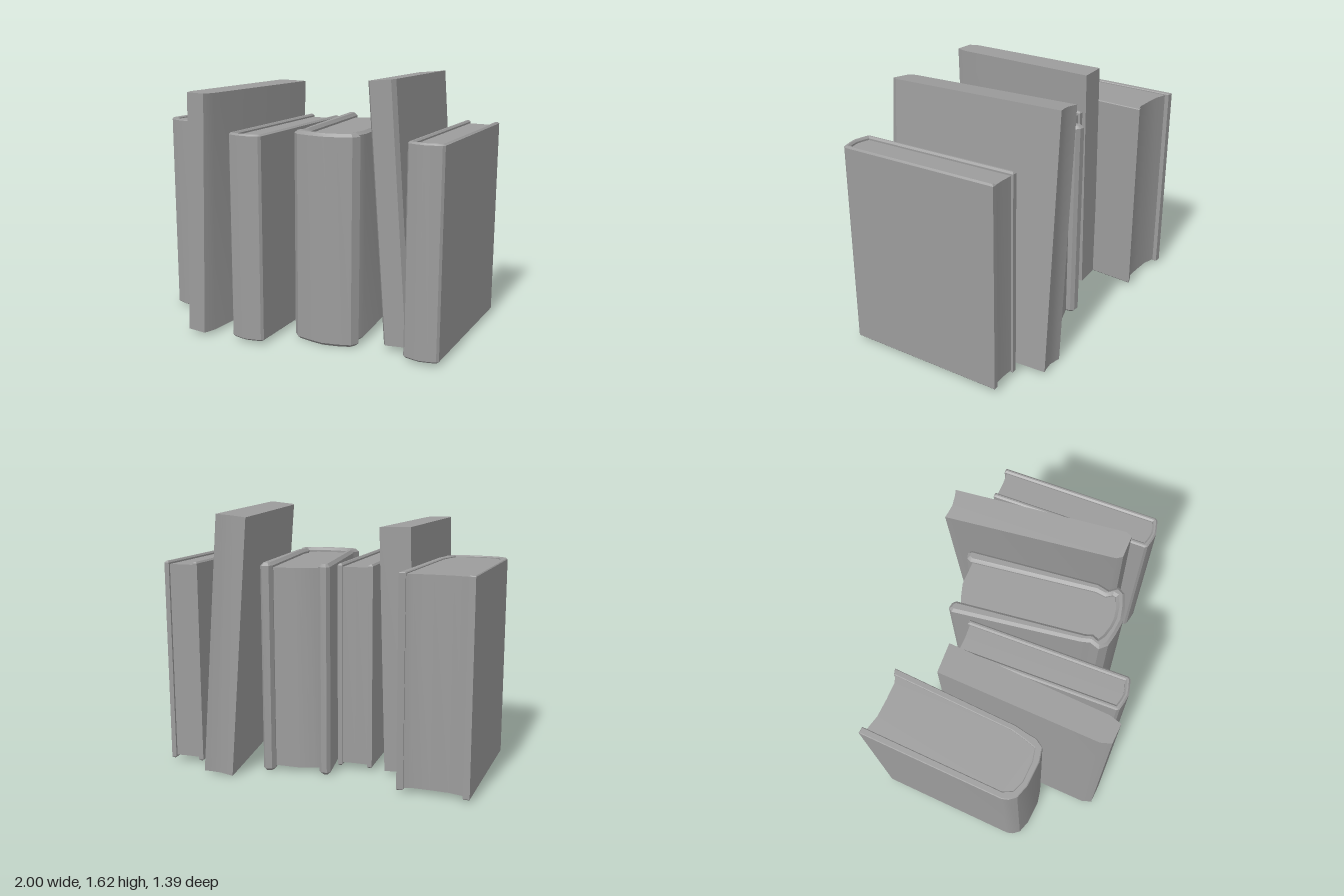
import * as THREE from 'three';
import { toCreasedNormals } from 'three/addons/utils/BufferGeometryUtils.js';

const material = new THREE.MeshStandardMaterial({ color: 0x9c9c9c });

// Upright prism from a plan outline of [x, z] points
function prism(name, outline, y0, y1, bevel = 0) {
  const shape = new THREE.Shape(outline.map(([x, z]) => new THREE.Vector2(x, -z)));
  const geo = new THREE.ExtrudeGeometry(shape, {
    depth: y1 - y0 - 2 * bevel,
    bevelEnabled: bevel > 0,
    bevelSize: bevel,
    bevelThickness: bevel,
    bevelOffset: -bevel,
    bevelSegments: 1,
  });
  geo.rotateX(-Math.PI / 2).translate(0, y0 + bevel, 0);
  const mesh = new THREE.Mesh(toCreasedNormals(geo, 0.5), material);
  mesh.name = name;
  return mesh;
}

// Hardback: U-shaped cover (outer and inner run from back left round the spine
// to back right) wrapped around a slightly shorter page block
function hardback(name, { outer, inner, foreEdge, y0, y1, bevel, recess }) {
  const book = new THREE.Group();
  book.name = name;
  book.add(prism('cover', [...outer, ...[...inner].reverse()], y0, y1, bevel));
  book.add(prism('pages', [...inner.slice(1, -1), ...foreEdge], y0 + recess, y1 - recess));
  return book;
}

// Thin hardback, centred on x
function thinBook(name, cx, back) {
  const place = (pts) => pts.map(([x, z]) => [cx + x, back + z]);
  return hardback(name, {
    outer: place([[-0.11, 0], [-0.11, 1.012], [-0.098, 1.028], [-0.05, 1.041], [0, 1.05],
      [0.05, 1.041], [0.098, 1.028], [0.11, 1.012], [0.11, 0]]),
    inner: place([[-0.08, 0], [-0.08, 1.0], [-0.04, 1.012], [0, 1.018],
      [0.04, 1.012], [0.08, 1.0], [0.08, 0]]),
    foreEdge: place([[0.08, 0.014], [0, 0.018], [-0.08, 0.014]]),
    y0: 0.02, y1: 1.29, bevel: 0.01, recess: 0.02,
  });
}

// Plain closed book that leans: shiftX moves x per unit height,
// tiltX and tiltZ raise its ends per unit x and z
function leaningBook(name, { outline, y0, y1, shiftX, tiltX, tiltZ, pivotX }) {
  const mesh = prism(name, outline, y0, y1);
  mesh.geometry.applyMatrix4(new THREE.Matrix4().set(
    1, shiftX, 0, 0,
    tiltX, 1, tiltZ, -tiltX * pivotX,
    0, 0, 1, 0,
    0, 0, 0, 1));
  mesh.geometry = toCreasedNormals(mesh.geometry, 0.5);
  return mesh;
}

export function createModel() {
  const group = new THREE.Group();
  group.name = 'bookRow';

  // Thick round-backed book at the far right end
  group.add(hardback('roundBackBook', {
    outer: [[-0.94, -0.695], [-1, 0.21], [-0.99, 0.25], [-0.96, 0.29], [-0.88, 0.32], [-0.73, 0.335],
      [-0.64, 0.32], [-0.605, 0.27], [-0.592, 0.2], [-0.575, 0.13], [-0.507, -0.66]],
    inner: [[-0.9, -0.69], [-0.96, 0.2], [-0.935, 0.255], [-0.87, 0.285], [-0.74, 0.295],
      [-0.66, 0.28], [-0.635, 0.21], [-0.61, 0.12], [-0.545, -0.65]],
    foreEdge: [[-0.546, -0.643], [-0.59, -0.627], [-0.7, -0.63], [-0.81, -0.637], [-0.902, -0.662]],
    y0: 0.02, y1: 1.29, bevel: 0.005, recess: 0.01,
  }));

  // Tall slim book leaning slightly
  group.add(leaningBook('slimLeaningBook', {
    outline: [[-0.548, -0.365], [-0.362, -0.37], [-0.437, 0.62],
      [-0.462, 0.695], [-0.585, 0.685], [-0.604, 0.62]],
    y0: 0.02, y1: 1.515, shiftX: 0.029, tiltX: -0.02, tiltZ: 0, pivotX: -0.5,
  }));

  // Two matching thin books
  group.add(thinBook('thinBookMiddle', -0.17, -0.37));
  group.add(thinBook('thinBookEnd', 0.89, -0.55));

  // Thick book with grooved hinges and heavy boards
  group.add(hardback('groovedBook', {
    outer: [[-0.035, -0.515], [-0.052, -0.49], [0.045, 0.3], [0.06, 0.36], [0.038, 0.42], [0.08, 0.465],
      [0.17, 0.485], [0.26, 0.497], [0.35, 0.48], [0.435, 0.45], [0.463, 0.4], [0.425, 0.35],
      [0.442, 0.28], [0.372, -0.53], [0.355, -0.55]],
    inner: [[0.002, -0.51], [0.022, -0.49], [0.1, 0.31], [0.115, 0.36], [0.1, 0.395], [0.13, 0.415],
      [0.2, 0.435], [0.26, 0.44], [0.33, 0.43], [0.395, 0.405], [0.4, 0.385], [0.375, 0.345],
      [0.385, 0.28], [0.3, -0.51], [0.315, -0.54]],
    foreEdge: [[0.301, -0.5], [0.15, -0.503], [0.055, -0.475], [0.025, -0.46]],
    y0: 0, y1: 1.3, bevel: 0.018, recess: 0.03,
  }));

  // Tallest book, leaning on its neighbour
  group.add(leaningBook('tallLeaningBook', {
    outline: [[0.515, -0.69], [0.54, -0.685], [0.6, -0.678], [0.66, -0.687], [0.698, -0.697],
      [0.782, 0.35], [0.765, 0.385], [0.63, 0.38], [0.608, 0.345]],
    y0: 0.012, y1: 1.585, shiftX: -0.079, tiltX: 0.1, tiltZ: 0.015, pivotX: 0.515,
  }));

  return group;
}
